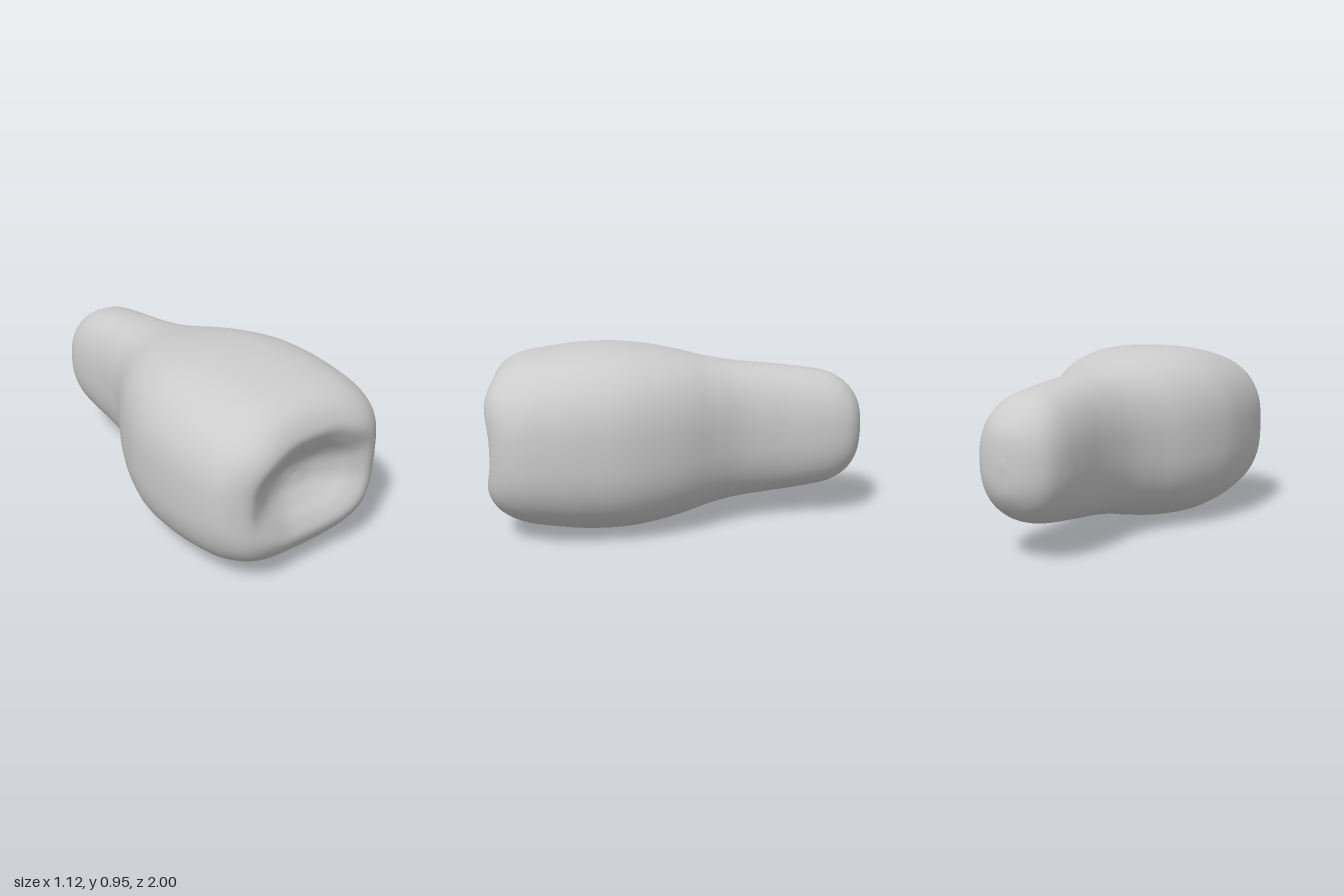
import * as THREE from 'three';

// Cross-sections from the back tip to the floor of the front hollow: z, half width, half height
const SECTIONS = [
  [-1, 0, 0], [-0.985, 0.09, 0.13], [-0.95, 0.16, 0.2], [-0.9, 0.203, 0.255],
  [-0.82, 0.226, 0.3], [-0.7, 0.235, 0.325], [-0.5, 0.241, 0.35], [-0.3, 0.278, 0.37],
  [-0.15, 0.345, 0.395], [0, 0.43, 0.43], [0.15, 0.495, 0.458], [0.32, 0.544, 0.475],
  [0.5, 0.558, 0.473], [0.66, 0.553, 0.456], [0.83, 0.525, 0.425], [0.95, 0.46, 0.365],
  [1, 0.375, 0.275], [0.97, 0.29, 0.2], [0.91, 0.2, 0.135], [0.865, 0.1, 0.07], [0.85, 0, 0],
];
const CENTRE_Y = 0.478;
const RINGS = 120;
const SIDES = 64;

const signedPow = (v, e) => Math.sign(v) * Math.pow(Math.abs(v), e);

function loftBody() {
  const curve = new THREE.CatmullRomCurve3(
    SECTIONS.map(([z, w, h]) => new THREE.Vector3(w, h, z)), false, 'centripetal');
  const positions = [], indices = [];

  // Rounded-rectangle rings, with the front rim dipping between its corners
  for (let i = 0; i <= RINGS; i++) {
    const p = curve.getPoint(i / RINGS);
    const roundness = THREE.MathUtils.lerp(2.35, 2.65, THREE.MathUtils.smoothstep(p.z, -0.5, 0.3));
    const dip = 0.022 * THREE.MathUtils.smoothstep(p.z, 0.85, 1);
    for (let j = 0; j < SIDES; j++) {
      const a = (j / SIDES) * Math.PI * 2;
      positions.push(
        p.x * signedPow(Math.cos(a), 2 / roundness),
        CENTRE_Y + p.y * signedPow(Math.sin(a), 2 / roundness),
        p.z - dip * Math.cos(2 * a) ** 2);
    }
  }

  // Skin between neighbouring rings
  for (let i = 0; i < RINGS; i++) {
    for (let j = 0; j < SIDES; j++) {
      const k = (j + 1) % SIDES;
      const a = i * SIDES + j, b = i * SIDES + k;
      const c = a + SIDES, d = b + SIDES;
      if (i > 0) indices.push(a, b, c);
      if (i < RINGS - 1) indices.push(b, d, c);
    }
  }
  // Close the first and last triangles at both poles
  const geometry = new THREE.BufferGeometry();
  geometry.setAttribute('position', new THREE.Float32BufferAttribute(positions, 3));
  geometry.setIndex(indices);
  geometry.computeVertexNormals();

  // Poles share one direction so the tips shade smoothly
  const normals = geometry.attributes.normal;
  for (let j = 0; j < SIDES; j++) {
    normals.setXYZ(j, 0, 0, -1);
    normals.setXYZ(RINGS * SIDES + j, 0, 0, 1);
  }
  return geometry;
}

export function createModel() {
  const group = new THREE.Group();
  group.name = 'bottleShape';
  const body = new THREE.Mesh(loftBody(), new THREE.MeshStandardMaterial({ color: 0xcccccc }));
  body.name = 'hollowFrontedBody';
  group.add(body);
  return group;
}
